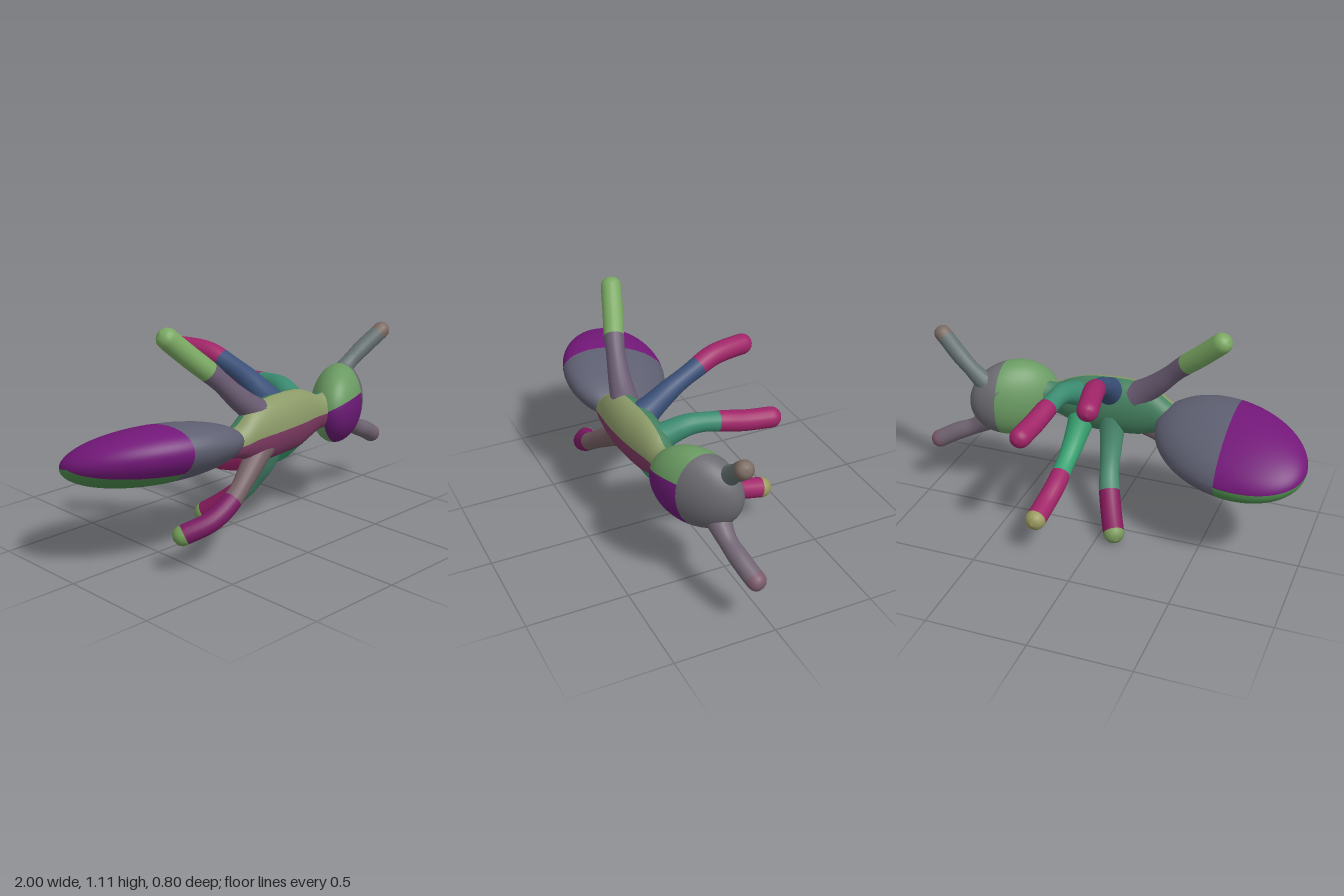
import * as THREE from 'three';
import { mergeVertices } from 'three/addons/utils/BufferGeometryUtils.js';

const PI = Math.PI;

function addMesh(parent, name, geometry, color) {
  const mesh = new THREE.Mesh(geometry, new THREE.MeshStandardMaterial({ color }));
  mesh.name = name;
  parent.add(mesh);
}

// Smooth normals across the seam of a closed surface
function smooth(geo) {
  geo.deleteAttribute('uv');
  geo.deleteAttribute('normal');
  const merged = mergeVertices(geo, 1e-5);
  merged.computeVertexNormals();
  return merged;
}

// Leaning ellipsoid with its pole along x, made of coloured patches:
// patch = [name, color, phiStart, phiLength, thetaStart, thetaLength]
// phi runs from the top (0) over the front (PI/2); theta from the +x pole
function ellipsoid(name, c, rx, ry, rz, zByX, zByY, patches) {
  const group = new THREE.Group();
  group.name = name;
  const lean = new THREE.Matrix4().set(
    rx, 0, 0, c[0],
    0, ry, 0, c[1],
    zByX, zByY, rz, c[2],
    0, 0, 0, 1);
  for (const [part, color, p0, pl, t0, tl] of patches) {
    const geo = new THREE.SphereGeometry(1, 36, 24, p0, pl, t0, tl);
    geo.rotateZ(-PI / 2).applyMatrix4(lean);
    addMesh(group, part, geo, color);
  }
  return group;
}

// Round-tipped limb along a curve, flared at its root and split into colour bands:
// band = [name, color, endFraction]
function limb(name, points, radius, flare, bands) {
  const group = new THREE.Group();
  group.name = name;
  const rows = 72, sides = 18;
  const path = new THREE.CatmullRomCurve3(points.map(p => new THREE.Vector3(...p)));
  const length = path.getLength();
  const geo = new THREE.TubeGeometry(path, rows, 1, sides, false);
  const pos = geo.attributes.position, v = new THREE.Vector3();
  for (let j = 0; j <= rows; j++) {
    const t = j / rows, centre = path.getPointAt(t);
    const left = Math.min(1, (1 - t) * length / radius);
    const tip = Math.sqrt(Math.max(0, 1 - (1 - left) ** 2));
    // slight waist at the joint, wide root that blends into the body
    const r = radius * (1 + flare * Math.exp(-t * 8) - 0.1 * Math.exp(-(((t - 0.4) / 0.12) ** 2)));
    for (let i = 0; i <= sides; i++) {
      const k = j * (sides + 1) + i;
      v.fromBufferAttribute(pos, k).sub(centre).multiplyScalar(r * Math.max(tip, 0.002)).add(centre);
      pos.setXYZ(k, v.x, v.y, v.z);
    }
  }
  const skin = smooth(geo), index = Array.from(skin.index.array);
  let from = 0;
  for (const [part, color, end] of bands) {
    const to = Math.round(end * rows);
    const piece = skin.clone();
    piece.setIndex(index.slice(from * sides * 6, to * sides * 6));
    addMesh(group, part, piece, color);
    from = to;
  }
  return group;
}

// Thorax: rings along x; each station is [x, yCentre, zCentre, yRadius, zRadius]
function thorax() {
  const group = new THREE.Group();
  group.name = 'thorax';
  const stations = [
    [-0.34, 0.55, 0.25, 0.06, 0.06], [-0.25, 0.555, 0.265, 0.075, 0.07],
    [-0.17, 0.57, 0.265, 0.12, 0.08], [-0.08, 0.575, 0.26, 0.145, 0.09],
    [0.05, 0.577, 0.25, 0.15, 0.095], [0.18, 0.575, 0.24, 0.143, 0.085],
    [0.27, 0.575, 0.235, 0.115, 0.072], [0.34, 0.57, 0.235, 0.088, 0.06],
    [0.44, 0.57, 0.22, 0.1, 0.08]];
  const centre = new THREE.CatmullRomCurve3(stations.map(s => new THREE.Vector3(s[0], s[1], s[2])));
  const radii = new THREE.CatmullRomCurve3(stations.map(s => new THREE.Vector3(s[0], s[3], s[4])));
  const patches = [
    ['thoraxFrontLower', 0x7d3a62, 0, PI / 2],
    ['thoraxBack', 0x44805f, PI / 2, PI],
    ['thoraxFrontUpper', 0x8c9a68, PI * 1.5, PI / 2]];
  for (const [part, color, start, len] of patches) {
    const geo = new THREE.CylinderGeometry(1, 1, 1, 18, 48, true, start, len).rotateZ(-PI / 2);
    const pos = geo.attributes.position;
    for (let i = 0; i < pos.count; i++) {
      const t = THREE.MathUtils.clamp(pos.getX(i) + 0.5, 0, 1);
      const c = centre.getPoint(t), r = radii.getPoint(t);
      pos.setXYZ(i, c.x, c.y + pos.getY(i) * r.y, c.z + pos.getZ(i) * r.z);
    }
    geo.computeVertexNormals();
    addMesh(group, part, geo, color);
  }
  return group;
}

export function createModel() {
  const model = new THREE.Group();
  model.name = 'ant';

  // Body
  model.add(ellipsoid('abdomen', [-0.6, 0.54, 0.095], 0.4, 0.16, 0.25, 0.107, 0.125, [
    ['abdomenInner', 0x5f6072, 0, PI * 2, 0, PI / 2],
    ['abdomenOuterLower', 0x4c8a4c, 1.8, 2.5, PI / 2, PI / 2],
    ['abdomenOuterUpper', 0x74187a, 4.3, PI * 2 - 2.5, PI / 2, PI / 2]]));
  model.add(thorax());
  model.add(ellipsoid('head', [0.555, 0.56, 0.18], 0.205, 0.2, 0.148, -0.085, 0.01, [
    ['headFace', 0x6a6a70, 0, PI * 2, 0, 1.35],
    ['headCheek', 0x6a1a74, 1.2, 1.7, 1.35, PI - 1.35],
    ['headBack', 0x6a9a62, 2.9, PI * 2 - 1.7, 1.35, PI - 1.35]]));

  // Antennae
  model.add(limb('upperAntenna',
    [[0.62, 0.61, 0.1], [0.72, 0.70, 0.09], [0.82, 0.78, 0.11], [0.92, 0.86, 0.145], [0.965, 0.895, 0.155]],
    0.043, 0.9, [['upperAntennaStalk', 0x647070, 0.85], ['upperAntennaTip', 0x7a6a62, 1]]));
  model.add(limb('lowerAntenna',
    [[0.63, 0.47, 0.13], [0.76, 0.38, 0.125], [0.86, 0.335, 0.11], [0.955, 0.285, 0.085], [0.995, 0.265, 0.07]],
    0.046, 0.9, [['lowerAntennaStalk', 0x706472, 0.85], ['lowerAntennaTip', 0x7a5a6a, 1]]));

  // Legs: [name, path, radius, thigh colour, thigh end, shin colour, foot colour]
  const legs = [
    ['upperHindLeg', [[-0.08, 0.65, 0.25], [-0.2, 0.75, 0.23], [-0.32, 0.87, 0.2], [-0.43, 0.97, 0.16],
      [-0.53, 1.065, 0.125], [-0.565, 1.1, 0.115]], 0.051, 0x685a70, 0.54, 0x7aa862, 0x7aa862],
    ['lowerHindLeg', [[-0.08, 0.51, 0.27], [-0.22, 0.41, 0.315], [-0.35, 0.32, 0.345], [-0.47, 0.25, 0.335],
      [-0.58, 0.2, 0.275], [-0.62, 0.175, 0.245]], 0.048, 0x745f64, 0.5, 0x7a1a62, 0x6f9a55],
    ['upperMiddleLeg', [[0.05, 0.66, 0.22], [0.035, 0.765, 0.06], [0.015, 0.825, -0.07], [-0.01, 0.863, -0.18],
      [-0.05, 0.865, -0.36], [-0.06, 0.86, -0.405]], 0.051, 0x3a5078, 0.53, 0xa02468, 0xa02468],
    ['lowerMiddleLeg', [[0.04, 0.52, 0.23], [0.03, 0.36, 0.17], [0.01, 0.24, 0.09], [-0.03, 0.15, 0],
      [-0.09, 0.06, -0.115], [-0.115, 0.035, -0.155]], 0.053, 0x4a8a70, 0.58, 0x861a5c, 0x7a9a5c],
    ['upperForeLeg', [[0.21, 0.62, 0.23], [0.25, 0.685, 0.07], [0.27, 0.675, -0.08], [0.285, 0.655, -0.2],
      [0.3, 0.645, -0.34], [0.305, 0.64, -0.385]], 0.051, 0x3a8a70, 0.5, 0xa02468, 0xa02468],
    ['lowerForeLeg', [[0.2, 0.5, 0.22], [0.215, 0.37, 0.1], [0.22, 0.31, 0], [0.22, 0.265, -0.12],
      [0.23, 0.225, -0.22], [0.235, 0.2, -0.34], [0.24, 0.19, -0.385]], 0.051, 0x36a070, 0.48, 0xa02468, 0x9a9a60]];
  for (const [name, path, radius, thigh, split, shin, foot] of legs) {
    model.add(limb(name, path, radius, 0.5,
      [[name + 'Thigh', thigh, split], [name + 'Shin', shin, 0.92], [name + 'Foot', foot, 1]]));
  }
  return model;
}
